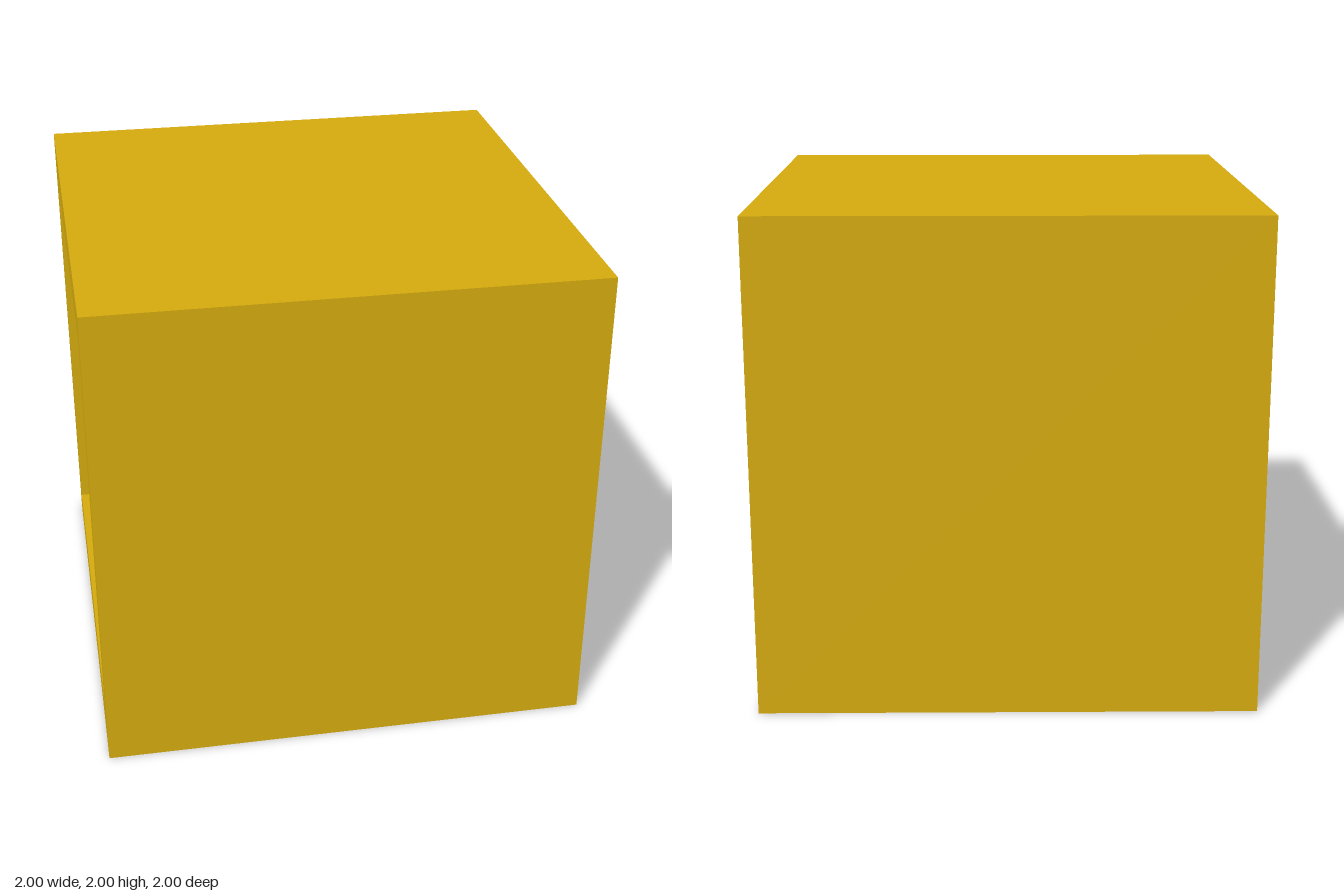
import * as THREE from 'three';

const gold = new THREE.MeshStandardMaterial({ color: 0xd4aa0e });
gold.name = 'gold';

// Square outline with the given half side, turned by an angle
function square(half, angle, Type) {
  const points = [[-1, -1], [1, -1], [1, 1], [-1, 1]].map(([x, y]) =>
    new THREE.Vector2(x * half, y * half).rotateAround(new THREE.Vector2(), angle));
  return new Type(points);
}

// Square tube, open at both ends, running along x
function squareTube(name, outerHalf, innerHalf, length, angle) {
  const shape = square(outerHalf, angle, THREE.Shape);
  shape.holes.push(square(innerHalf, angle, THREE.Path));
  const geometry = new THREE.ExtrudeGeometry(shape, { depth: length, bevelEnabled: false });
  geometry.translate(0, 0, -length / 2);
  geometry.rotateY(Math.PI / 2);
  const mesh = new THREE.Mesh(geometry, gold);
  mesh.name = name;
  mesh.position.y = 1;
  return mesh;
}

export function createModel() {
  const group = new THREE.Group();
  group.name = 'nestedSquareTubes';
  // Outer cube shell
  group.add(squareTube('outerShell', 1, 0.838, 2, 0));
  // Turned inner tube, its corners sunk slightly into the shell and its ends set back
  group.add(squareTube('innerTube', 0.605, 0.505, 1.76, THREE.MathUtils.degToRad(44.4)));
  return group;
}
